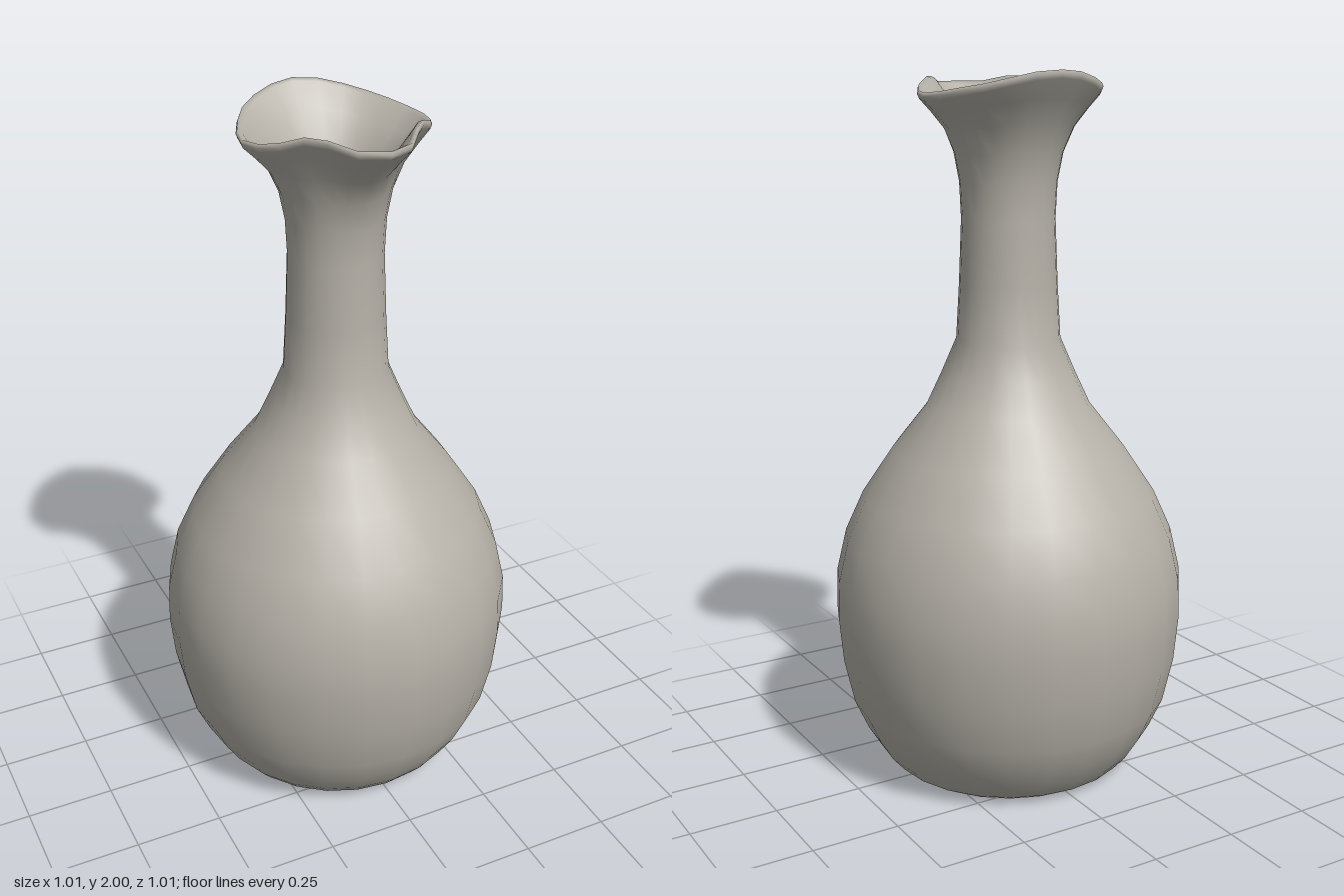
import * as THREE from 'three';
import { mergeVertices } from 'three/addons/utils/BufferGeometryUtils.js';

// Rim radius and height every 15 degrees, from the front lip (0) to the back (180)
const RIM_RADIUS = [0.315, 0.289, 0.25, 0.236, 0.246, 0.253, 0.262, 0.258, 0.255, 0.262, 0.265, 0.267, 0.275];
const RIM_HEIGHT = [1.965, 1.965, 1.98, 1.98, 1.96, 1.945, 1.94, 1.945, 1.955, 1.965, 1.98, 1.995, 2.0];

function sample(table, x, z) {
  const f = Math.abs(Math.atan2(x, z)) / Math.PI * (table.length - 1);
  const i = Math.min(Math.floor(f), table.length - 2);
  return THREE.MathUtils.lerp(table[i], table[i + 1], f - i);
}

// Revolved wall; each profile point is [radius, height, amount of rim shaping]
function wall(profile, segments = 24) {
  let geo = new THREE.LatheGeometry(profile.map(([r, y]) => new THREE.Vector2(r, y)), segments);
  const pos = geo.attributes.position;
  for (let i = 0; i < pos.count; i++) {
    const [r, y, t = 0] = profile[i % profile.length];
    if (!t) continue;
    const x = pos.getX(i), z = pos.getZ(i);
    const s = 1 + t * (sample(RIM_RADIUS, x, z) - 0.26) / r;
    pos.setXYZ(i, x * s, y + t * (sample(RIM_HEIGHT, x, z) - 1.96), z * s);
  }
  geo.deleteAttribute('uv');
  geo.deleteAttribute('normal');
  geo = mergeVertices(geo, 1e-4);
  geo.computeVertexNormals();
  return geo;
}

export function createModel() {
  const model = new THREE.Group();
  model.name = 'vase';
  const clay = new THREE.MeshStandardMaterial({ color: 0xb5b1a8, side: THREE.DoubleSide });
  clay.name = 'grey clay';

  const add = (name, geo) => {
    const mesh = new THREE.Mesh(geo, clay);
    mesh.name = name;
    model.add(mesh);
    return mesh;
  };

  // Belly, neck and flared lip, then back down the inside
  add('vaseWall', wall([
    [0.315, 0.005], [0.35, 0.02], [0.385, 0.06], [0.425, 0.125], [0.463, 0.21], [0.492, 0.34],
    [0.504, 0.47], [0.5, 0.58], [0.472, 0.7], [0.42, 0.815], [0.33, 0.95], [0.232, 1.075],
    [0.19, 1.165], [0.147, 1.265], [0.138, 1.42], [0.131, 1.6], [0.136, 1.7, 0.03],
    [0.152, 1.78, 0.12], [0.183, 1.85, 0.35], [0.222, 1.9, 0.7], [0.255, 1.938, 1],
    [0.26, 1.95, 1], [0.256, 1.96, 1], [0.243, 1.954, 1],
    [0.2, 1.905, 0.7], [0.16, 1.85, 0.35], [0.13, 1.78, 0.12], [0.113, 1.7], [0.105, 1.58],
    [0.108, 1.42], [0.118, 1.27], [0.2, 1.08], [0.3, 0.94], [0.39, 0.8], [0.442, 0.69],
    [0.47, 0.58], [0.473, 0.47], [0.462, 0.35], [0.43, 0.22], [0.36, 0.09], [0.3, 0.04],
  ]));

  // Flat foot under the belly and floor inside it
  const foot = add('foot', new THREE.CircleGeometry(0.316, 24));
  foot.rotation.x = Math.PI / 2;
  const floor = add('innerFloor', new THREE.CircleGeometry(0.3, 24));
  floor.rotation.x = -Math.PI / 2;
  floor.position.y = 0.04;
  return model;
}
